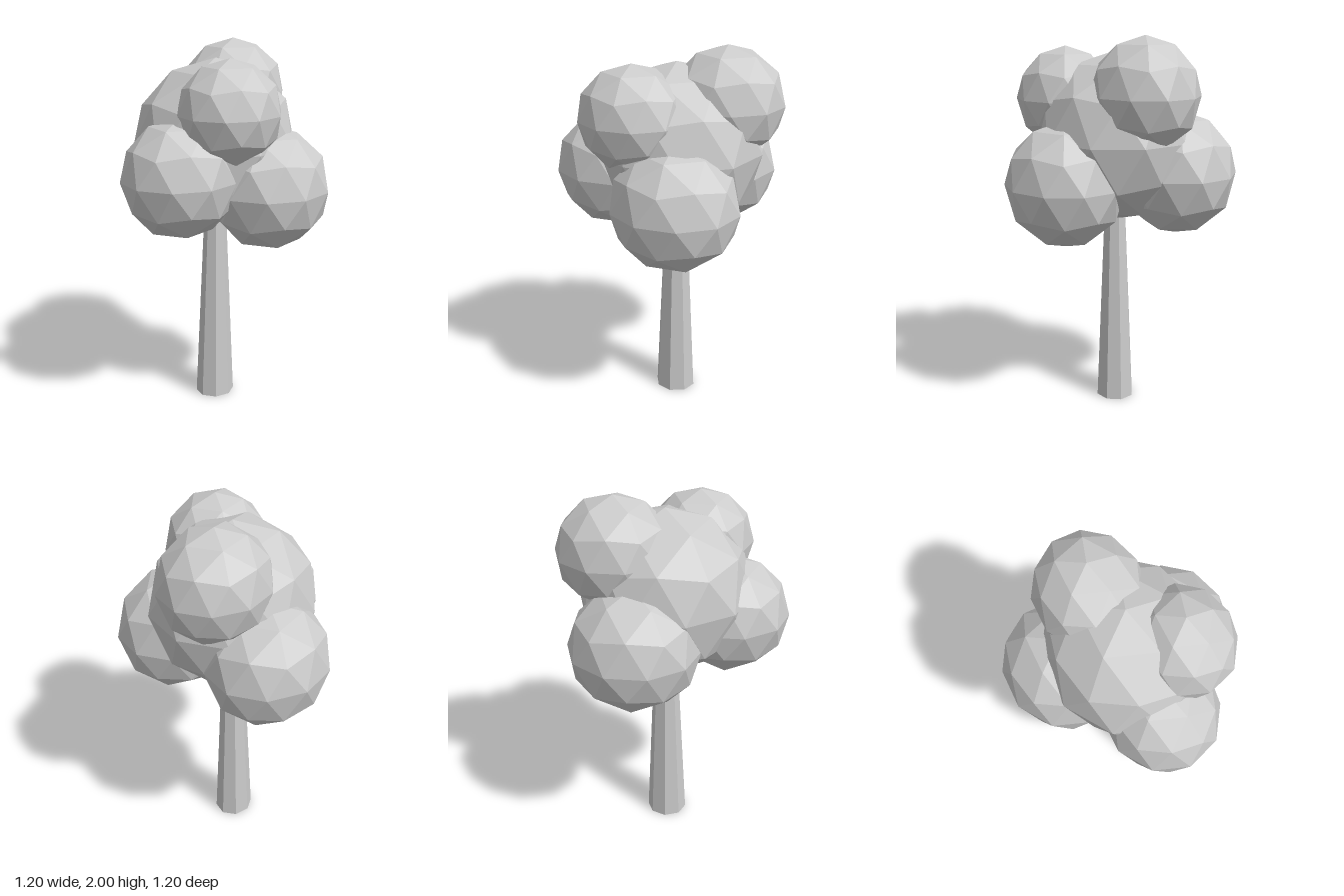
import * as THREE from 'three';

const material = new THREE.MeshStandardMaterial({ color: 0xcccccc, flatShading: true });

// Everything is slightly narrower in x and y than in z
const PROPORTION = new THREE.Vector3(0.92, 0.97, 1);

// Unit icosphere with one vertex at the top and an upper-ring vertex towards +x
function icosphere() {
  const geometry = new THREE.IcosahedronGeometry(1, 1);
  geometry.rotateX(-Math.atan((1 + Math.sqrt(5)) / 2));
  geometry.rotateY(Math.PI / 2);
  return geometry;
}

export function createModel() {
  const tree = new THREE.Group();
  tree.name = 'tree';

  // Tapered eight-sided trunk, running up into the foliage
  const height = 1.3;
  const trunk = new THREE.Mesh(new THREE.CylinderGeometry(0.053, 0.112, height, 8), material);
  trunk.name = 'trunk';
  trunk.scale.x = PROPORTION.x;
  trunk.position.set(0, height / 2, -0.05);
  tree.add(trunk);

  // Foliage clumps: name, radius, centre
  const clumps = [
    ['crownFoliage', 0.461, 0, 1.468, -0.05],
    ['frontFoliage', 0.325, 0.037, 1.333, 0.275],
    ['lowerRightFoliage', 0.342, -0.3, 1.284, -0.176],
    ['lowerLeftFoliage', 0.341, 0.298, 1.245, -0.138],
    ['upperBackFoliage', 0.304, -0.075, 1.705, -0.296],
    ['upperFrontFoliage', 0.283, 0.222, 1.663, 0.111],
  ];
  const geometry = icosphere();
  for (const [name, radius, x, y, z] of clumps) {
    const clump = new THREE.Mesh(geometry, material);
    clump.name = name;
    clump.scale.copy(PROPORTION).multiplyScalar(radius);
    clump.position.set(x, y, z);
    tree.add(clump);
  }
  return tree;
}
